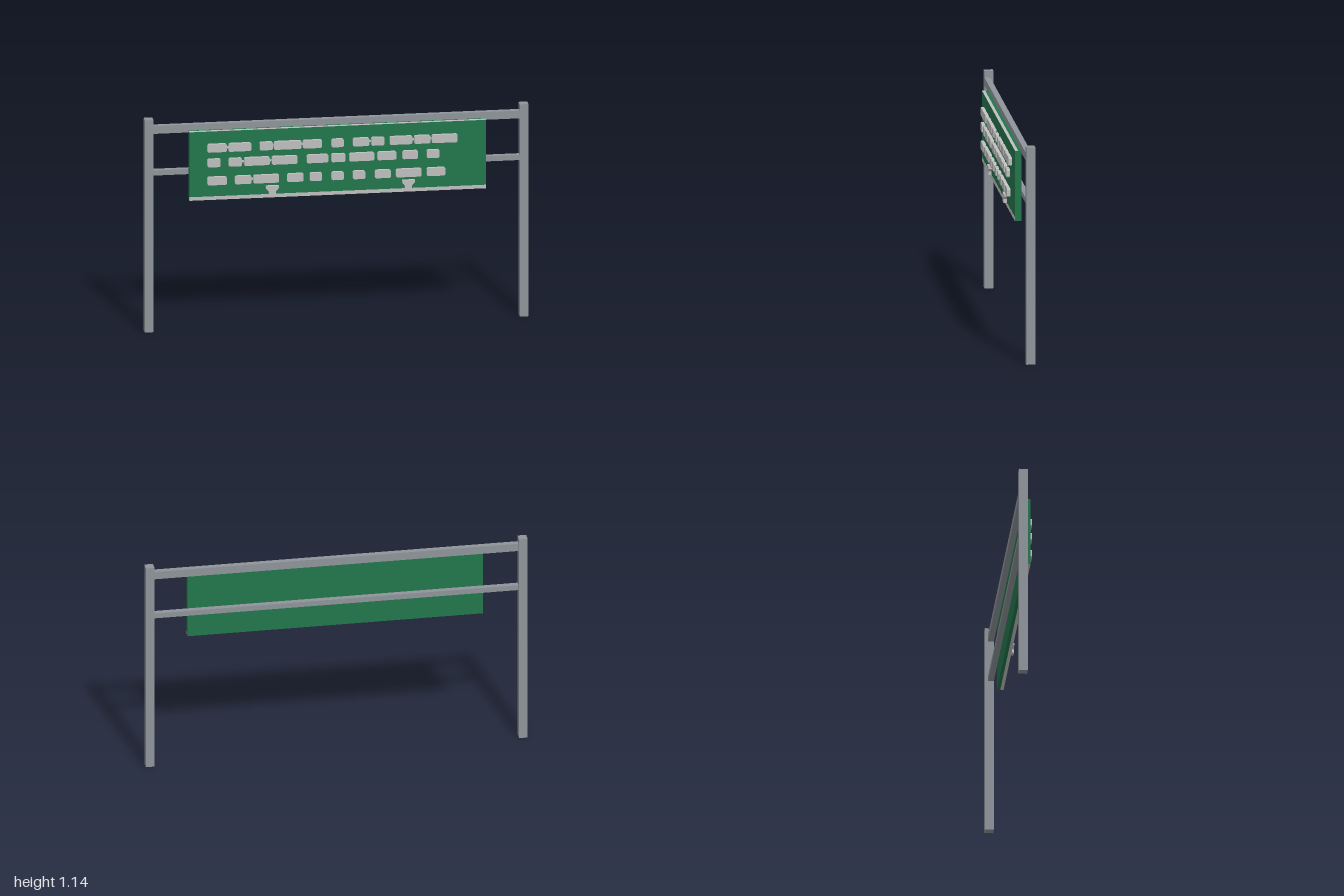
import * as THREE from 'three';

export function createModel() {
  const model = new THREE.Group();
  model.name = 'gantrySign';
  const mat = (name, color) => Object.assign(new THREE.MeshStandardMaterial({ color }), { name });
  const steel = mat('steel grey', 0x8e949a);
  const green = mat('panel green', 0x22754b);
  const pale = mat('pale grey', 0xbfbfbf);

  const add = (parent, name, geometry, material) => {
    const mesh = new THREE.Mesh(geometry, material);
    mesh.name = name;
    parent.add(mesh);
    return mesh;
  };
  // Box given by its limits on each axis
  const box = (parent, name, material, x0, x1, y0, y1, z0, z1) => {
    const mesh = add(parent, name, new THREE.BoxGeometry(x1 - x0, y1 - y0, z1 - z0), material);
    mesh.position.set((x0 + x1) / 2, (y0 + y1) / 2, (z0 + z1) / 2);
    return mesh;
  };
  // Flat outline extruded forward from the panel face
  const plate = (parent, name, points, x, y) => {
    const shape = new THREE.Shape(points.map(([px, py]) => new THREE.Vector2(px, py)));
    const geometry = new THREE.ExtrudeGeometry(shape, { depth: 0.017, bevelEnabled: false });
    add(parent, name, geometry, pale).position.set(x, y, 0.033);
  };

  // Frame: two posts and two cross beams
  box(model, 'leftPost', steel, 0.955, 1, 0, 1.145, -0.047, 0);
  box(model, 'rightPost', steel, -1, -0.955, 0, 1.145, -0.047, 0);
  box(model, 'topBeam', steel, -0.955, 0.955, 1.07, 1.112, -0.03, 0);
  box(model, 'lowerBeam', steel, -0.955, 0.955, 0.845, 0.873, -0.03, 0);

  // Sign panel with pale edging
  box(model, 'panel', green, -0.773, 0.773, 0.712, 1.08, 0, 0.033);
  box(model, 'topEdging', pale, -0.773, 0.773, 1.08, 1.082, 0.017, 0.033);
  box(model, 'bottomEdging', pale, -0.773, 0.773, 0.711, 0.73, 0.017, 0.034);

  // Raised blocks: each row lists start and end of every block
  const rows = [
    { y: 0.993, spans: [[-0.68, -0.58], [-0.57, -0.452], [-0.408, -0.34], [-0.334, -0.19], [-0.182, -0.083],
      [-0.033, 0.03], [0.078, 0.163], [0.174, 0.243], [0.27, 0.388], [0.398, 0.481], [0.489, 0.624]] },
    { y: 0.913, spans: [[-0.68, -0.612], [-0.57, -0.5], [-0.489, -0.356], [-0.345, -0.211], [-0.163, -0.05],
      [-0.035, 0.04], [0.059, 0.19], [0.206, 0.305], [0.337, 0.417], [0.463, 0.53]] },
    { y: 0.816, spans: [[-0.68, -0.58], [-0.537, -0.452], [-0.441, -0.307], [-0.265, -0.179], [-0.147, -0.083],
      [-0.033, 0.03], [0.078, 0.142], [0.193, 0.275], [0.303, 0.436], [0.463, 0.56]] },
  ];
  const blocks = new THREE.Group();
  blocks.name = 'raisedBlocks';
  model.add(blocks);
  const h = 0.022, c = 0.006;
  for (const { y, spans } of rows) {
    spans.forEach(([a, b], i) => {
      const w = (b - a) / 2;
      plate(blocks, 'block', [[-w + c, -h], [w - c, -h], [w, -h + c], [w, h - c],
        [w - c, h], [-w + c, h], [-w, h - c], [-w, -h + c]], (a + b) / 2, y);
      // Small link across narrow gaps
      const next = spans[i + 1];
      if (next && next[0] - b < 0.014) box(blocks, 'link', pale, b, next[0], y - 0.006, y + 0.006, 0.033, 0.037);
    });
  }

  // Tapered brackets under the bottom row
  const half = [[0.018, -0.024], [0.018, -0.004], [0.033, 0.012], [0.033, 0.025]];
  const outline = [...half, ...half.map(([x, y]) => [-x, y]).reverse()];
  for (const x of [-0.342, 0.368]) plate(model, 'taperedBracket', outline, x, 0.752);

  return model;
}
